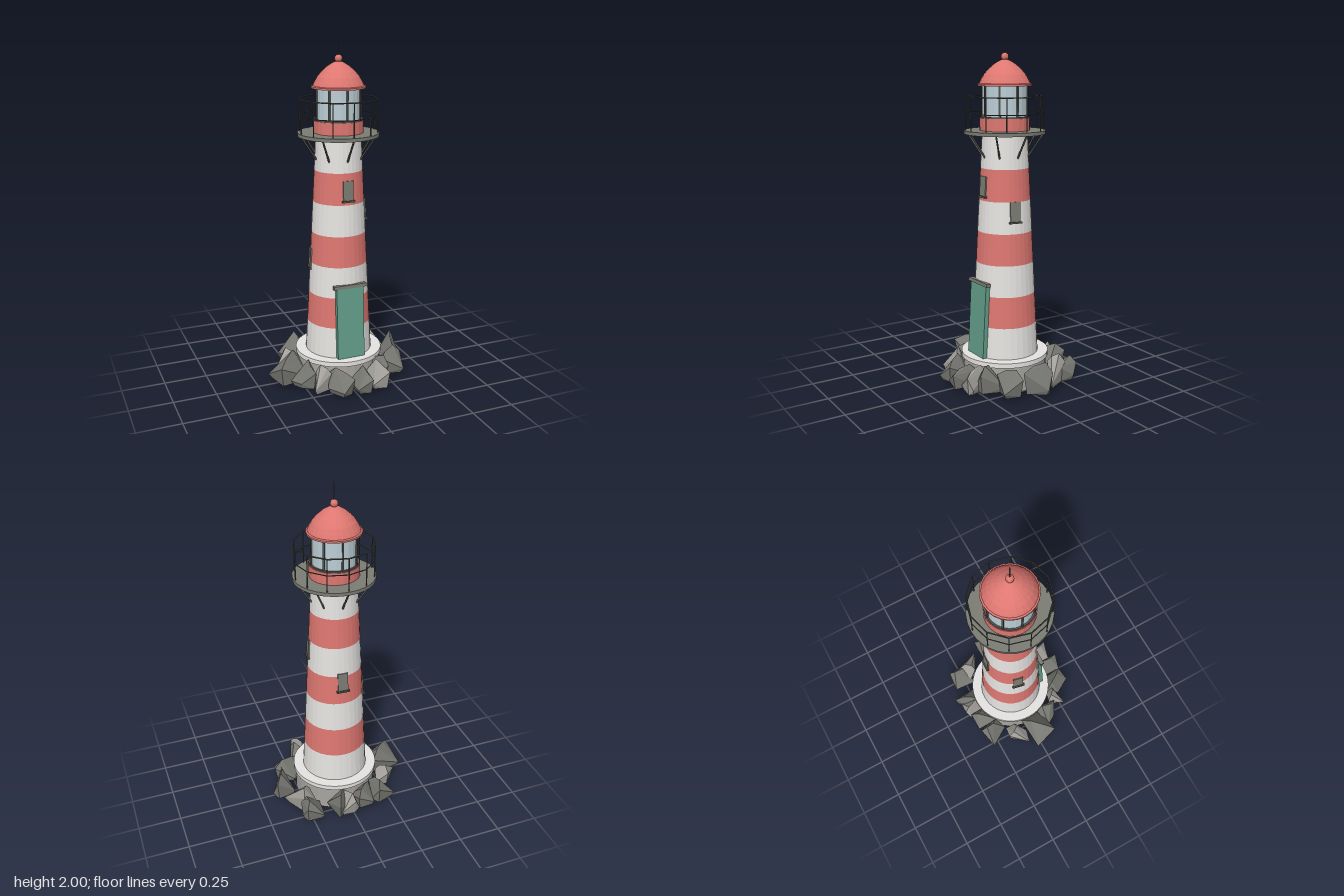
import * as THREE from 'three';
import { ConvexGeometry } from 'three/addons/geometries/ConvexGeometry.js';

const mat = (name, color) => {
  const m = new THREE.MeshStandardMaterial({ color });
  m.name = name;
  return m;
};

// Gives every face its own normal
const facet = (geo) => {
  const g = geo.index ? geo.toNonIndexed() : geo;
  g.computeVertexNormals();
  return g;
};

const add = (parent, name, geo, material, x = 0, y = 0, z = 0) => {
  const mesh = new THREE.Mesh(geo, material);
  mesh.name = name;
  mesh.position.set(x, y, z);
  parent.add(mesh);
  return mesh;
};

// Upright drum from y0 to y1
const drum = (parent, name, material, r0, r1, y0, y1, sides = 24) =>
  add(parent, name, facet(new THREE.CylinderGeometry(r1, r0, y1 - y0, sides)), material, 0, (y0 + y1) / 2, 0);

// Round bar between two points
const bar = (parent, name, material, a, b, r, sides = 6) => {
  const dir = b.clone().sub(a);
  const mesh = add(parent, name, new THREE.CylinderGeometry(r, r, dir.length(), sides), material);
  mesh.position.copy(a).add(b).multiplyScalar(0.5);
  mesh.quaternion.setFromUnitVectors(new THREE.Vector3(0, 1, 0), dir.normalize());
};

const polar = (angle, r, y) => new THREE.Vector3(Math.sin(angle) * r, y, Math.cos(angle) * r);

// Jagged boulder: a ground outline with alternating low and high corners, a smaller foot and two peaks
function boulderGeometry(top, outline) {
  const n = outline.length;
  const cx = outline.reduce((s, p) => s + p[0], 0) / n;
  const cz = outline.reduce((s, p) => s + p[1], 0) / n;
  const toward = ([x, z], t, y) => new THREE.Vector3(cx + (x - cx) * t, y, cz + (z - cz) * t);
  const points = [];
  outline.forEach((p, i) => {
    points.push(toward(p, 1, i % 2 ? top * 0.72 : 0.05), toward(p, 0.8, 0.02));
  });
  points.push(toward(outline[1], 0.45, top), toward(outline[3], 0.4, top * 0.9));
  return new ConvexGeometry(points);
}

export function createModel() {
  const white = mat('white paint', 0xe6e4e1);
  const red = mat('red paint', 0xde7771);
  const concrete = mat('concrete', 0xa8a5a0);
  const rock = mat('dark rock', 0x787873);
  const paleRock = mat('pale rock', 0xa3a09b);
  const slate = mat('slate grey', 0x7b7d74);
  const iron = mat('dark iron', 0x545650);
  const glass = mat('glass', 0xbccfd6);
  const green = mat('green paint', 0x649f8a);

  const model = new THREE.Group();
  model.name = 'lighthouse';
  const tower = new THREE.Group();
  tower.name = 'tower';
  tower.position.set(0.011, 0, -0.007);
  model.add(tower);

  // Foundation with an overhanging top slab
  drum(tower, 'foundation', concrete, 0.244, 0.244, 0, 0.15, 32);
  drum(tower, 'plinthSlab', white, 0.255, 0.255, 0.15, 0.178, 48);

  // Striped, tapering shaft
  const base = 0.178, band = 0.181;
  const slope = 0.065 / 1.27;
  const radiusAt = (y) => 0.195 - (y - base) * slope;
  for (let i = 0; i < 7; i++) {
    const y0 = base + i * band, y1 = y0 + band;
    drum(tower, i % 2 ? 'redBand' : 'whiteBand', i % 2 ? red : white, radiusAt(y0), radiusAt(y1), y0, y1, 32);
  }

  // Fittings that lie against the leaning wall
  const onWall = (name, angle, y) => {
    const turn = new THREE.Group();
    turn.name = name;
    turn.rotation.y = angle;
    const lean = new THREE.Group();
    lean.position.set(0, y, radiusAt(y));
    lean.rotation.x = -Math.atan(slope);
    turn.add(lean);
    tower.add(turn);
    return lean;
  };
  const door = onWall('door', 0, 0.39);
  add(door, 'doorPanel', new THREE.BoxGeometry(0.166, 0.424, 0.026), green, 0, 0, -0.007);
  add(door, 'doorLintel', new THREE.BoxGeometry(0.2, 0.02, 0.026), slate, 0, 0.221, -0.001);

  // Windows climb around the shaft
  for (const [angle, y] of [[0, 1.165], [1.4, 1.028], [3.1, 0.865], [4.5, 0.745]]) {
    const win = onWall('window', angle, y);
    add(win, 'windowPane', new THREE.BoxGeometry(0.06, 0.112, 0.016), slate, 0, 0, -0.004);
    add(win, 'windowSill', new THREE.BoxGeometry(0.074, 0.01, 0.024), iron, 0, -0.06, 0);
  }

  // Gallery deck and its brackets
  drum(tower, 'galleryDeck', slate, 0.232, 0.232, 1.455, 1.475, 32);
  for (let i = 0; i < 8; i++) {
    const a = (i * Math.PI) / 4;
    bar(tower, 'bracket', iron, polar(a, 0.132, 1.325), polar(a, 0.22, 1.457), 0.0055);
  }

  // Railing
  for (const [y, r] of [[1.663, 0.004], [1.57, 0.003]]) {
    const ring = new THREE.TorusGeometry(0.222, r, 6, 12);
    ring.rotateX(Math.PI / 2);
    add(tower, 'rail', facet(ring), iron, 0, y, 0);
  }
  for (let i = 0; i < 12; i++) {
    const a = (i * Math.PI) / 6;
    bar(tower, 'railPost', iron, polar(a, 0.222, 1.47), polar(a, 0.222, 1.665), 0.0033);
  }

  // Lantern room
  drum(tower, 'lanternBase', red, 0.142, 0.142, 1.475, 1.545);
  drum(tower, 'lanternLedge', iron, 0.138, 0.138, 1.545, 1.553);
  drum(tower, 'lanternGlass', glass, 0.128, 0.128, 1.553, 1.724);
  for (let i = 0; i < 8; i++) {
    const a = (i * Math.PI) / 4;
    const p = polar(a, 0.129, 1.638);
    add(tower, 'mullion', new THREE.BoxGeometry(0.01, 0.172, 0.01), iron, p.x, p.y, p.z).rotation.y = a;
  }

  // Domed roof, ball and spike
  const profile = [[0, 1.722], [0.153, 1.722], [0.153, 1.732], [0.144, 1.736], [0.135, 1.755],
    [0.118, 1.785], [0.093, 1.814], [0.062, 1.841], [0.031, 1.86], [0.012, 1.868], [0, 1.87]];
  const roof = new THREE.LatheGeometry(profile.map(([r, y]) => new THREE.Vector2(r, y)), 24);
  add(tower, 'roof', facet(roof), red);
  add(tower, 'roofBall', facet(new THREE.SphereGeometry(0.022, 12, 8)), red, 0, 1.882, 0);
  drum(tower, 'spike', iron, 0.003, 0.003, 1.895, 2, 6);

  // Boulders around the foot: top height, then outline corners as x, z
  const rocks = new THREE.Group();
  rocks.name = 'rocks';
  model.add(rocks);
  const boulder = (material, top, ...outline) =>
    add(rocks, 'boulder', boulderGeometry(top, outline), material);

  // Back
  boulder(rock, 0.18, [-0.28, -0.29], [-0.165, -0.325], [-0.135, -0.29], [-0.14, -0.205], [-0.2, -0.165]);
  boulder(rock, 0.15, [-0.13, -0.325], [-0.03, -0.33], [-0.01, -0.2], [-0.14, -0.2]);
  boulder(paleRock, 0.16, [-0.03, -0.335], [0, -0.355], [0.085, -0.35], [0.06, -0.22], [-0.01, -0.22]);
  boulder(rock, 0.17, [0.02, -0.285], [0.108, -0.38], [0.14, -0.23], [0.02, -0.22]);
  boulder(rock, 0.16, [0.19, -0.33], [0.295, -0.325], [0.315, -0.29], [0.3, -0.19], [0.18, -0.2]);
  // Left side
  boulder(paleRock, 0.19, [0.195, -0.225], [0.29, -0.245], [0.37, -0.095], [0.23, -0.16]);
  boulder(rock, 0.2, [0.29, -0.06], [0.405, -0.075], [0.425, -0.035], [0.335, 0.075], [0.295, -0.005]);
  boulder(rock, 0.17, [0.26, 0.05], [0.37, 0.1], [0.345, 0.21], [0.215, 0.175], [0.2, 0.08]);
  // Front
  boulder(rock, 0.18, [0.255, 0.14], [0.21, 0.28], [0.14, 0.275], [0.13, 0.17]);
  boulder(paleRock, 0.17, [0.075, 0.2], [0.15, 0.2], [0.195, 0.32], [0.185, 0.352], [0.09, 0.335]);
  boulder(rock, 0.15, [-0.015, 0.22], [0.075, 0.22], [0.085, 0.285], [0.07, 0.378], [-0.015, 0.36]);
  boulder(rock, 0.16, [-0.165, 0.27], [-0.13, 0.2], [-0.03, 0.22], [-0.03, 0.345], [-0.105, 0.37]);
  boulder(paleRock, 0.17, [-0.245, 0.272], [-0.2, 0.17], [-0.11, 0.2], [-0.13, 0.235]);
  // Right side
  boulder(rock, 0.17, [-0.33, 0.1], [-0.2, 0.06], [-0.19, 0.17], [-0.215, 0.205], [-0.29, 0.165]);
  boulder(rock, 0.19, [-0.425, -0.035], [-0.235, -0.06], [-0.215, 0.085], [-0.39, 0.11]);
  boulder(paleRock, 0.15, [-0.37, -0.07], [-0.285, -0.178], [-0.21, -0.165], [-0.225, -0.105], [-0.29, -0.05]);

  return model;
}
